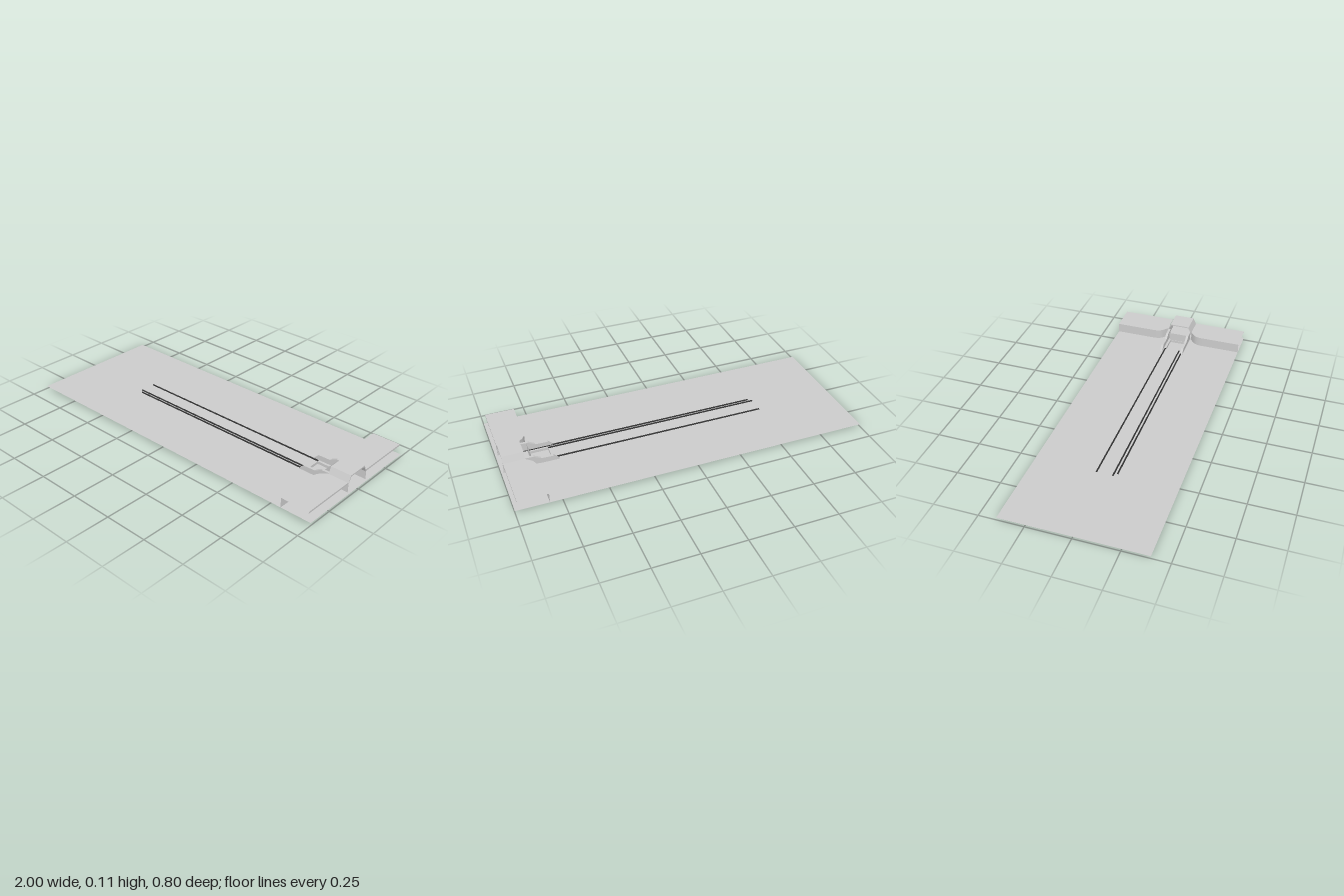
import * as THREE from 'three';

const mat = new THREE.MeshStandardMaterial({ color: 0xcccccc, side: THREE.DoubleSide, flatShading: true });
const dark = new THREE.MeshStandardMaterial({ color: 0x333333 });
const GROUND = 0.015;

function add(group, name, geometry, material = mat) {
  const mesh = new THREE.Mesh(geometry, material);
  mesh.name = name;
  group.add(mesh);
  return mesh;
}

// flat sheet at height y from a plan outline whose second coordinate is z
function sheet(shape, y) {
  return new THREE.ShapeGeometry(shape).rotateX(Math.PI / 2).translate(0, y, 0);
}

// upright ribbon following a plan path
function ribbon(path, y0, y1) {
  const g = new THREE.PlaneGeometry(1, 1, path.length - 1, 1);
  const p = g.attributes.position;
  path.forEach((v, i) => {
    p.setXYZ(i, v.x, y1, v.y);
    p.setXYZ(i + path.length, v.x, y0, v.y);
  });
  g.computeVertexNormals();
  return g;
}

const points = (list) => list.map(([x, y]) => new THREE.Vector2(x, y));
const rect = (x0, z0, x1, z1) => points([[x0, z0], [x1, z0], [x1, z1], [x0, z1]]);

export function createModel() {
  const model = new THREE.Group();

  // ground sheet with an opening for the pit
  const ground = new THREE.Shape(rect(-1, -0.4, 1, 0.4));
  ground.holes.push(new THREE.Path(rect(0.715, -0.047, 0.825, 0.047)));
  add(model, 'ground', sheet(ground, GROUND));

  // sunken pit and the end wall behind it
  const pit = rect(0.715, -0.047, 0.825, 0.047);
  add(model, 'pitFloor', sheet(new THREE.Shape(pit), 0));
  add(model, 'pitSides', ribbon([...pit, pit[0]], 0, GROUND));
  add(model, 'endWall', ribbon(points([[0.828, -0.055], [0.828, 0.055]]), 0.01, 0.065));

  // thin rails
  for (const [x0, x1, z] of [[-0.53, 0.715, -0.05], [-0.53, 0.715, 0.042], [-0.51, 0.865, 0.061]]) {
    const rail = add(model, 'rail', new THREE.CylinderGeometry(0.0045, 0.0045, x1 - x0, 8).rotateZ(Math.PI / 2), dark);
    rail.position.set((x0 + x1) / 2, 0.017, z);
  }

  // stepped side walls leading into the portal
  const profile = points([[0.68, 0.016], [0.71, 0.045], [0.78, 0.047], [0.82, 0.068],
    [0.87, 0.07], [0.87, 0.018], [0.80, 0.018], [0.76, 0.016]]);
  for (const z of [-0.074, 0.058]) {
    const g = new THREE.ExtrudeGeometry(new THREE.Shape(profile), { depth: 0.014, bevelEnabled: false });
    add(model, 'sideWall', g.translate(0, 0, z));
  }

  // banks: curved retaining wall, flat top and edge strip on both sides
  for (const s of [-1, 1]) {
    const curve = new THREE.CubicBezierCurve(...points([[0.82, s * 0.16], [0.82, s * 0.11], [0.845, s * 0.1], [0.868, s * 0.08]]));
    const path = [new THREE.Vector2(0.82, s * 0.4), ...curve.getPoints(10)];
    add(model, 'retainingWall', ribbon(path, GROUND, 0.072));
    const top = [...path, ...points([[0.985, s * 0.08], [0.985, s * 0.4]])];
    add(model, 'bankTop', sheet(new THREE.Shape(top), 0.072));
    add(model, 'bankEdge', ribbon(points([[0.985, s * 0.08], [0.985, s * 0.4]]), 0.062, 0.072));
  }

  // portal with sloped shoulders
  const outer = [[-0.08, 0.016], [-0.08, 0.063], [-0.06, 0.106], [0.06, 0.106], [0.08, 0.063], [0.08, 0.016]];
  const inner = [[0.077, 0.016], [0.077, 0.062], [0.057, 0.099], [-0.057, 0.099], [-0.077, 0.062], [-0.077, 0.016]];
  const arch = new THREE.ExtrudeGeometry(new THREE.Shape(points([...outer, ...inner])), { depth: 0.12, bevelEnabled: false });
  add(model, 'portal', arch.rotateY(Math.PI / 2).translate(0.867, 0, 0));

  return model;
}
